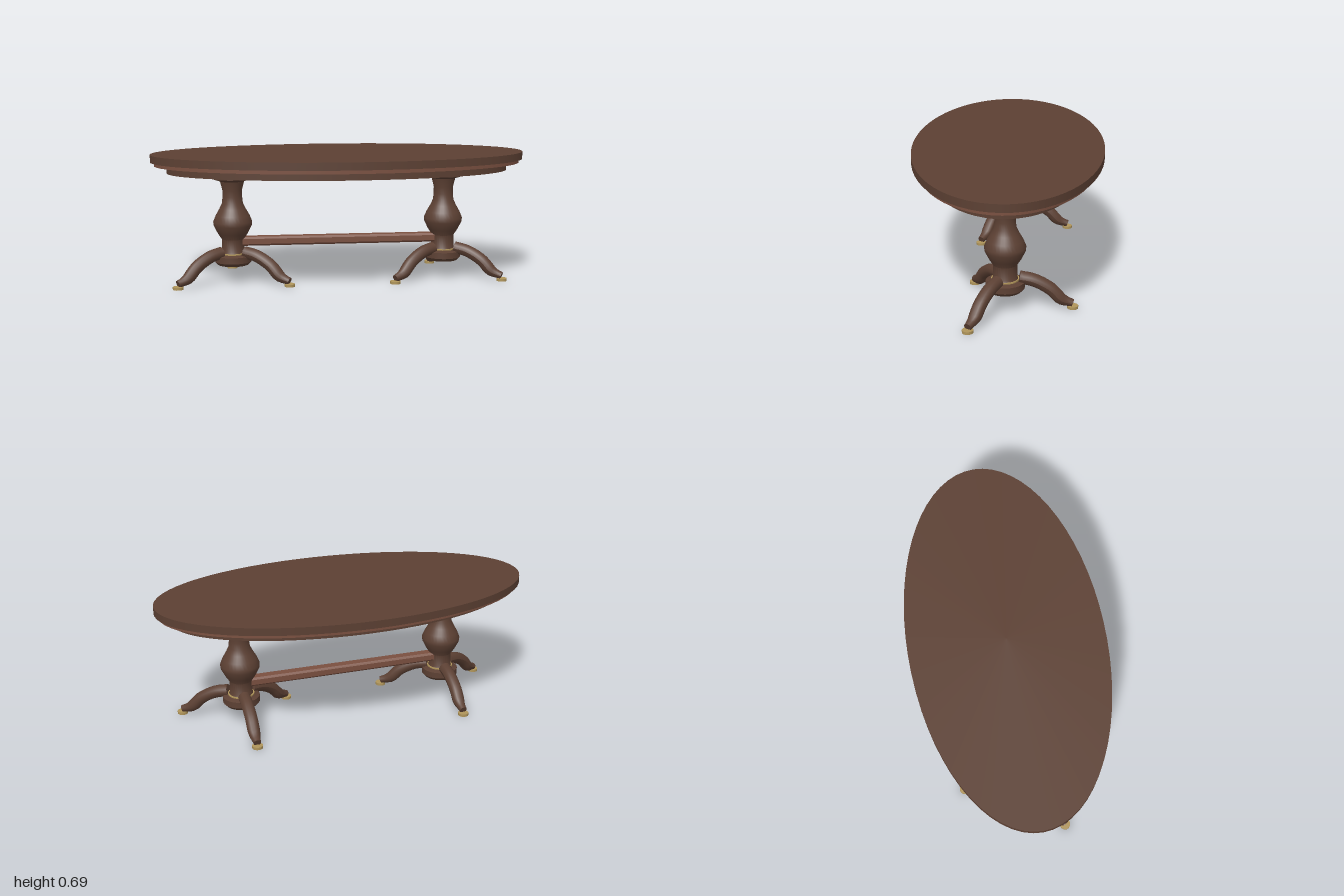
import * as THREE from 'three';
import { toCreasedNormals } from 'three/addons/utils/BufferGeometryUtils.js';

const wood = new THREE.MeshStandardMaterial({ color: 0x5c4033 });
wood.name = 'dark wood';
const redWood = new THREE.MeshStandardMaterial({ color: 0x7a5040 });
redWood.name = 'red wood';
const brass = new THREE.MeshStandardMaterial({ color: 0xb0955a });
brass.name = 'brass';

function add(parent, name, geometry, material, x = 0, y = 0, z = 0) {
  const mesh = new THREE.Mesh(geometry, material);
  mesh.name = name;
  mesh.position.set(x, y, z);
  parent.add(mesh);
  return mesh;
}

// Oval slab between two heights
function oval(parent, name, rx, rz, y0, y1, material) {
  const mesh = add(parent, name, new THREE.CylinderGeometry(1, 1, y1 - y0, 64), material, 0, (y0 + y1) / 2, 0);
  mesh.scale.set(rx, 1, rz);
}

// Curved leg running out along +x, tapering to a brass foot
function makeLeg() {
  const leg = new THREE.Group();
  leg.name = 'leg';
  const path = new THREE.CatmullRomCurve3(
    [[0.07, 0.163], [0.142, 0.148], [0.223, 0.104], [0.28, 0.048], [0.335, 0.027]]
      .map(([x, y]) => new THREE.Vector3(x, y, 0)));
  const rings = 16, sides = 12, radius = 0.033;
  const taper = (t) => 1 - 0.4 * THREE.MathUtils.smoothstep(t, 0.72, 1);
  const tube = new THREE.TubeGeometry(path, rings, radius, sides);
  const pos = tube.attributes.position;
  const v = new THREE.Vector3();
  for (let i = 0; i < pos.count; i++) {
    const t = Math.floor(i / (sides + 1)) / rings;
    const centre = path.getPointAt(t);
    v.fromBufferAttribute(pos, i).sub(centre).multiplyScalar(taper(t)).add(centre);
    pos.setXYZ(i, v.x, v.y, v.z);
  }
  tube.computeVertexNormals();
  add(leg, 'legCurve', tube, wood);
  for (const t of [0, 1]) {
    const p = path.getPointAt(t);
    const cap = add(leg, 'legEnd', new THREE.CircleGeometry(radius * taper(t), sides), wood, p.x, p.y, p.z);
    cap.lookAt(p.clone().addScaledVector(path.getTangentAt(t), t ? 1 : -1));
  }
  add(leg, 'foot', new THREE.CylinderGeometry(0.028, 0.028, 0.014, 16), brass, 0.336, 0.007, 0);
  return leg;
}

// Turned column with three legs
function makePedestal() {
  const pedestal = new THREE.Group();
  pedestal.name = 'pedestal';
  const profile = [
    [0, 0.093], [0.082, 0.093], [0.098, 0.11], [0.098, 0.143], [0.068, 0.152],
    [0.06, 0.165], [0.06, 0.232], [0.08, 0.262], [0.102, 0.306], [0.104, 0.326],
    [0.09, 0.36], [0.07, 0.395], [0.056, 0.425], [0.052, 0.46], [0.052, 0.495],
    [0.064, 0.543], [0.108, 0.558], [0.108, 0.586], [0.1, 0.586], [0.1, 0.591],
  ].map(([r, y]) => new THREE.Vector2(r, y));
  add(pedestal, 'column', toCreasedNormals(new THREE.LatheGeometry(profile, 32), 0.6), wood);
  add(pedestal, 'collar', new THREE.CylinderGeometry(0.07, 0.07, 0.007, 32), brass, 0, 0.155, 0);
  for (const degrees of [90, -30, 210]) {
    const leg = makeLeg();
    leg.rotation.y = THREE.MathUtils.degToRad(degrees);
    pedestal.add(leg);
  }
  return pedestal;
}

export function createModel() {
  const table = new THREE.Group();
  table.name = 'ovalTable';

  // Stepped oval top
  oval(table, 'tableTop', 1, 0.507, 0.65, 0.69, wood);
  oval(table, 'topMoulding', 0.98, 0.488, 0.63, 0.65, redWood);
  oval(table, 'apron', 0.915, 0.425, 0.59, 0.63, wood);

  for (const x of [-0.573, 0.573]) {
    const pedestal = makePedestal();
    pedestal.position.x = x;
    table.add(pedestal);
  }

  // Chamfered stretcher between the pedestals
  const h = 0.024, d = 0.032, c = 0.01, length = 1.06;
  const section = new THREE.Shape([
    [-d, -h + c], [-d + c, -h], [d - c, -h], [d, -h + c],
    [d, h - c], [d - c, h], [-d + c, h], [-d, h - c],
  ].map(([a, b]) => new THREE.Vector2(a, b)));
  const bar = new THREE.ExtrudeGeometry(section, { depth: length, bevelEnabled: false });
  bar.translate(0, 0, -length / 2).rotateY(Math.PI / 2);
  add(table, 'stretcher', bar, redWood, 0, 0.219, 0);

  return table;
}
